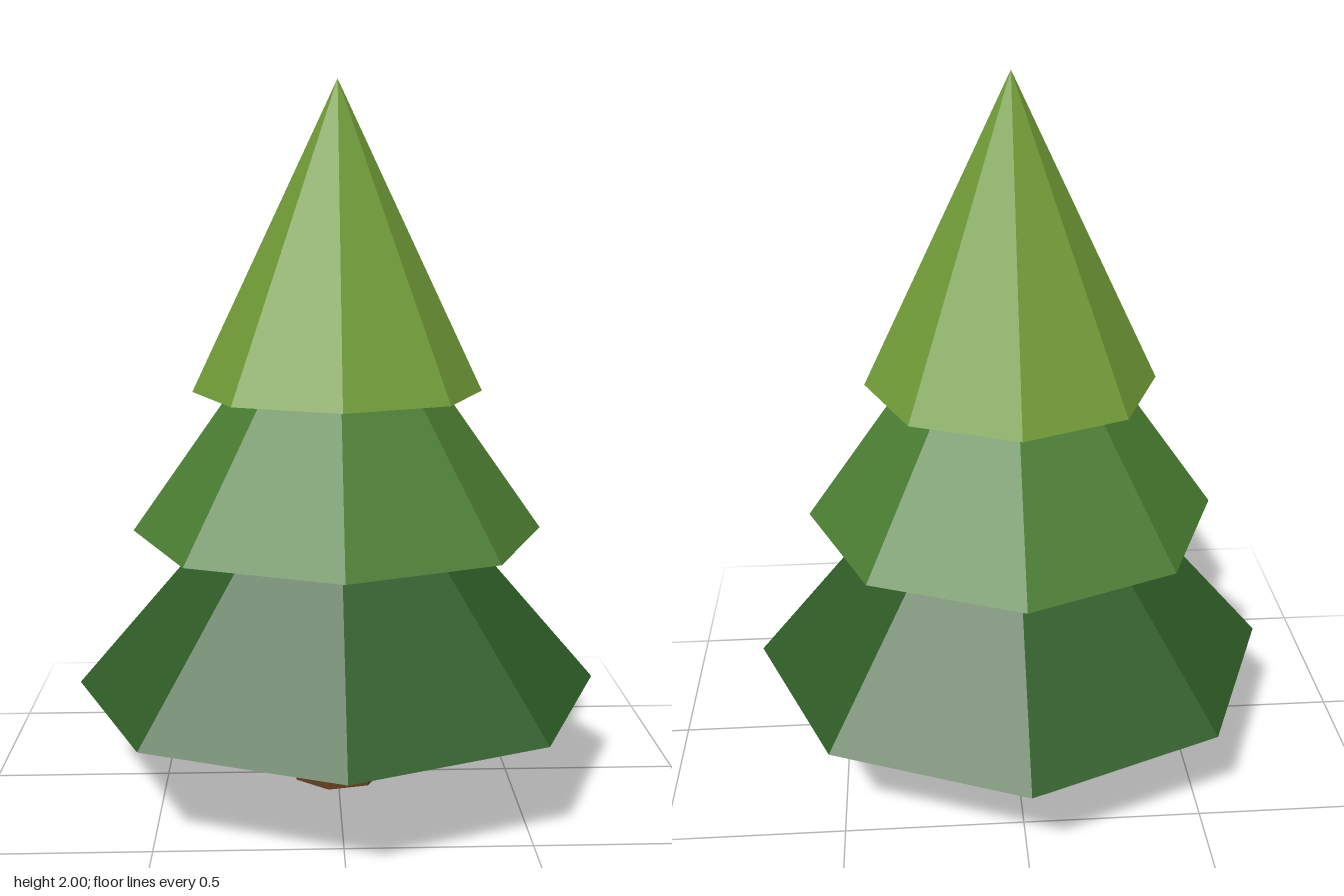
import * as THREE from 'three';

const flat = (name, color) => {
  const material = new THREE.MeshStandardMaterial({ color, flatShading: true });
  material.name = name;
  return material;
};

export function createModel() {
  const tree = new THREE.Group();
  tree.name = 'pineTree';

  const add = (name, geometry, material, y) => {
    const mesh = new THREE.Mesh(geometry, material);
    mesh.name = name;
    mesh.position.y = y;
    tree.add(mesh);
  };

  // Seven-sided trunk with one corner toward +x
  const trunkHeight = 0.29;
  add('trunk', new THREE.CylinderGeometry(0.135, 0.135, trunkHeight, 7, 1, false, Math.PI / 2),
    flat('barkBrown', 0x65401f), trunkHeight / 2);

  // Three overlapping eight-sided foliage cones: radius, base, apex
  const tiers = [
    ['lowerFoliage', 0.75, 0.287, 1.16, flat('darkGreen', 0x2e5c27)],
    ['middleFoliage', 0.585, 0.74, 1.57, flat('midGreen', 0x4a7d31)],
    ['upperFoliage', 0.41, 1.14, 2.0, flat('lightGreen', 0x719b37)],
  ];
  for (const [name, radius, base, apex, material] of tiers) {
    add(name, new THREE.ConeGeometry(radius, apex - base, 8), material, (base + apex) / 2);
  }
  return tree;
}
